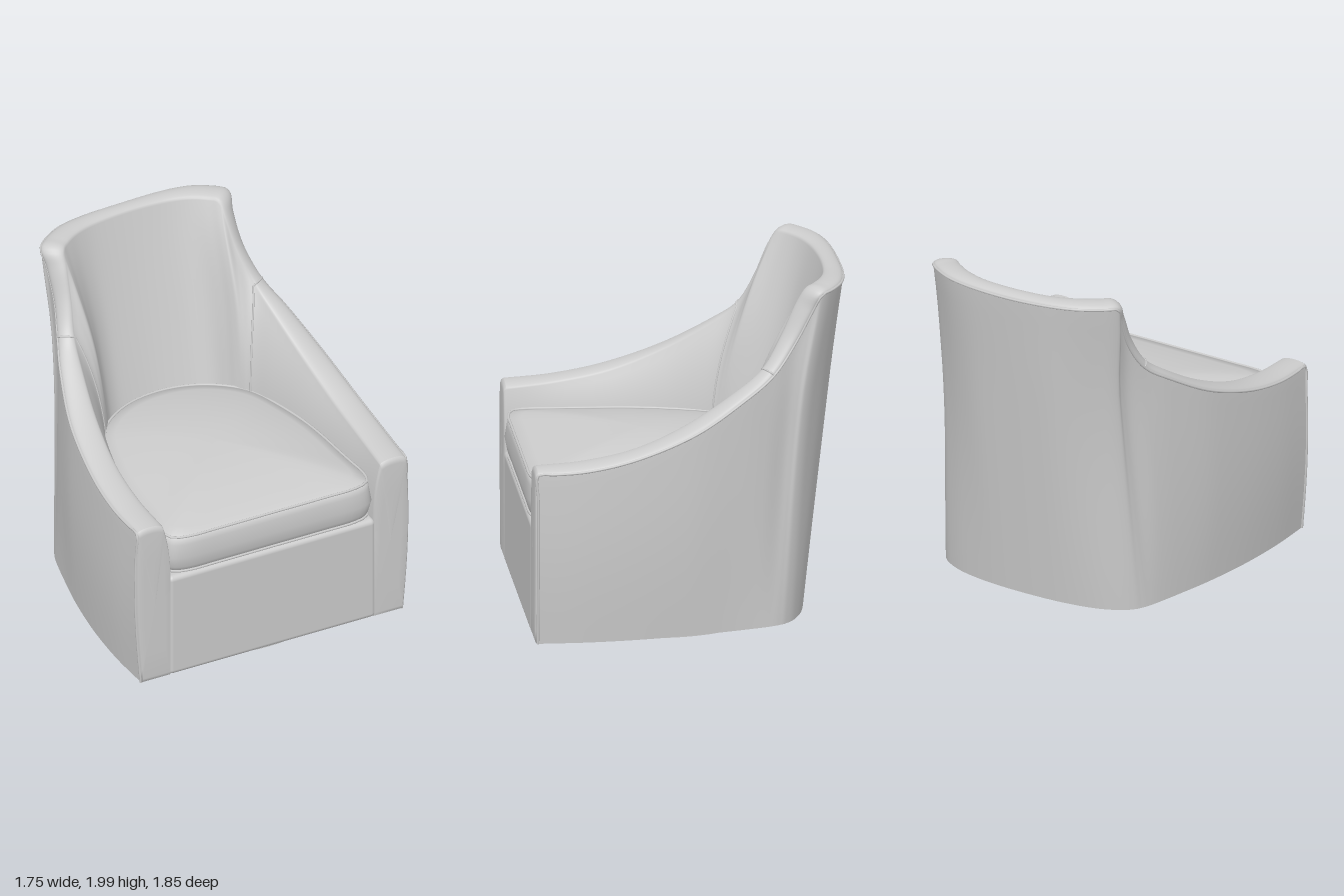
import * as THREE from 'three';
import { toCreasedNormals } from 'three/addons/utils/BufferGeometryUtils.js';
import { RoundedBoxGeometry } from 'three/addons/geometries/RoundedBoxGeometry.js';

const V = (x, y, z) => new THREE.Vector3(x, y, z);
const { lerp, clamp, smoothstep } = THREE.MathUtils;
const material = new THREE.MeshStandardMaterial({ color: 0xcccccc });
const doubleMaterial = new THREE.MeshStandardMaterial({ color: 0xcccccc, side: THREE.DoubleSide });
const FLOOR = 0.024;

// Cross-sections of the upholstered wall, front of arm to centre of back:
// base x,z | outer top x,y,z | inner top x,y,z | inner foot x,z
const SECTIONS = [
  [0.83, 0.885, 0.855, 1.035, 0.885, 0.69, 1.03, 0.885, 0.645, 0.885],
  [0.84, 0.6, 0.865, 1.05, 0.6, 0.7, 1.055, 0.6, 0.63, 0.6],
  [0.825, 0.3, 0.85, 1.11, 0.3, 0.69, 1.115, 0.3, 0.6, 0.3],
  [0.785, 0, 0.805, 1.23, -0.03, 0.655, 1.24, 0, 0.54, 0],
  [0.735, -0.24, 0.722, 1.39, -0.31, 0.605, 1.4, -0.27, 0.49, -0.17],
  [0.7, -0.39, 0.65, 1.51, -0.48, 0.57, 1.52, -0.42, 0.455, -0.25],
  [0.68, -0.46, 0.602, 1.68, -0.6, 0.53, 1.69, -0.52, 0.435, -0.28],
  [0.662, -0.505, 0.597, 1.86, -0.69, 0.51, 1.87, -0.6, 0.42, -0.3],
  [0.635, -0.55, 0.61, 1.955, -0.74, 0.5, 1.955, -0.655, 0.4, -0.32],
  [0.57, -0.605, 0.55, 1.965, -0.805, 0.45, 1.965, -0.705, 0.37, -0.35],
  [0.44, -0.66, 0.42, 1.965, -0.878, 0.35, 1.965, -0.765, 0.31, -0.39],
  [0.24, -0.695, 0.24, 1.96, -0.915, 0.21, 1.96, -0.805, 0.18, -0.43],
  [0, -0.705, 0, 1.955, -0.925, 0, 1.96, -0.82, 0, -0.45],
];
const BACK_SEAM = 5;

// Runs one guide curve from the left front, round the back, to the right front
function guide(pick) {
  const half = SECTIONS.map(pick);
  const other = half.slice(0, -1).reverse().map(p => V(-p.x, p.y, p.z));
  return new THREE.CatmullRomCurve3([...half, ...other], false, 'catmullrom', 0.5);
}
const base = guide(s => V(s[0], FLOOR, s[1]));
const outerTop = guide(s => V(s[2], s[3], s[4]));
const innerTop = guide(s => V(s[5], s[6], s[7]));
const innerFoot = guide(s => V(s[8], 0.6, s[9]));

// The top of the back sits slightly off centre and twisted
function settle(p) {
  const k = smoothstep(p.y, 1.35, 1.95);
  p.z -= 0.04 * p.x * k;
  p.x -= 0.028 * k;
  return p;
}

const OUT = 14, TOP = 12, IN = 16, PROFILE = OUT + TOP + IN + 1;

// Point on the wall: u runs round the plan, j runs up, over the roll and down inside
function wallPoint(u, j) {
  const b = base.getPoint(u), t = outerTop.getPoint(u);
  const i = innerTop.getPoint(u), f = innerFoot.getPoint(u);
  if (j <= OUT) {
    // Arms swell outward, the back corners draw in below the flared wings
    const k = j / OUT, dir = b.clone().sub(f).setY(0).normalize();
    const swell = 0.02 * clamp((b.z + 0.6) / 0.6, 0, 1) * Math.sin(Math.PI * k);
    const dip = 0.035 * smoothstep(-b.z, 0.36, 0.55) * smoothstep(Math.abs(b.x), 0.2, 0.55);
    return settle(b.clone().lerp(t, k).addScaledVector(dir, swell - dip * Math.sin(Math.PI * k ** 1.3)));
  }
  if (j <= OUT + TOP) {
    // Padded roll, bulging square to the edge
    const k = (j - OUT) / TOP, across = i.clone().sub(t);
    const bulge = outerTop.getTangent(u).cross(across).normalize();
    const p = t.clone().addScaledVector(across, (1 - Math.cos(Math.PI * k)) / 2);
    return settle(p.addScaledVector(bulge, 0.028 * Math.max(0, Math.sin(Math.PI * k)) ** 0.9));
  }
  if (j < PROFILE) {
    const k = (j - OUT - TOP) / IN;
    const ease = 1 - (1 - k) ** (1 + 1.6 * smoothstep(f.z, -0.42, -0.25));
    return settle(V(lerp(i.x, f.x, ease), lerp(i.y, f.y, k), lerp(i.z, f.z, ease)));
  }
  return f.setY(FLOOR);
}

// Grid surface facing along du x dv
function surface(nu, nv, point, closed = false) {
  const pos = [], index = [], w = closed ? nu : nu + 1;
  for (let j = 0; j <= nv; j++)
    for (let i = 0; i < w; i++) pos.push(...point(i, j).toArray());
  for (let j = 0; j < nv; j++)
    for (let i = 0; i < nu; i++) {
      const a = j * w + i, b = j * w + (i + 1) % w, c = b + w, d = a + w;
      index.push(a, b, d, b, c, d);
    }
  const g = new THREE.BufferGeometry();
  g.setAttribute('position', new THREE.Float32BufferAttribute(pos, 3));
  g.setIndex(index);
  g.computeVertexNormals();
  return g;
}

function add(parent, name, geometry, mat = material) {
  const mesh = new THREE.Mesh(geometry, mat);
  mesh.name = name;
  parent.add(mesh);
  return mesh;
}

function piping(parent, name, points, closed = false, radius = 0.008) {
  const curve = new THREE.CatmullRomCurve3(points, closed);
  return add(parent, name, new THREE.TubeGeometry(curve, points.length * 2, radius, 6, closed));
}

// Rounded front face of one arm
function armFront(side) {
  const n = PROFILE + 1, u = side > 0 ? 0 : 1;
  const rings = [[1, 0], [0.985, 0.012], [0.94, 0.019], [0.6, 0.021], [0, 0.021]];
  return surface(n, rings.length - 1, (i, j) => {
    const p = wallPoint(u, side > 0 ? i : n - 1 - i), [s, dz] = rings[j];
    return V(lerp(side * 0.75, p.x, s), lerp(0.52, p.y, s), p.z + dz);
  }, true);
}

function makeShell() {
  const shell = new THREE.Group();
  shell.name = 'upholsteredShell';
  const N = 144;
  add(shell, 'armsAndBack', surface(N, PROFILE, (i, j) => wallPoint(i / N, j)));
  for (const side of [1, -1]) {
    const name = side > 0 ? 'left' : 'right';
    add(shell, name + 'ArmFront', armFront(side));

    // Seam where the arm meets the back
    const at = BACK_SEAM / (2 * SECTIONS.length - 2), seam = [];
    for (let j = OUT; j < PROFILE; j++) seam.push(wallPoint(side > 0 ? at : 1 - at, j));
    piping(shell, name + 'BackSeam', seam, false, 0.006);
  }

  // One welt from the floor, over arms and back, to the floor again
  const welt = [];
  for (let j = 0; j < OUT; j += 2) welt.push(wallPoint(0, j));
  for (let i = 0; i <= 80; i++) welt.push(wallPoint(i / 80, OUT));
  for (let j = OUT - 2; j >= 0; j -= 2) welt.push(wallPoint(1, j));
  piping(shell, 'outerWelt', welt);
  return shell;
}

function makeCushion() {
  const cushion = new THREE.Group();
  cushion.name = 'seatCushion';
  const half = [[0.3, 0.895], [0.57, 0.885], [0.635, 0.84], [0.628, 0.55], [0.6, 0.2],
    [0.545, -0.05], [0.465, -0.27], [0.35, -0.39], [0.19, -0.475]];
  const plan = new THREE.CatmullRomCurve3([V(0, 0, 0.895), ...half.map(p => V(p[0], 0, p[1])), V(0, 0, -0.505),
    ...half.slice().reverse().map(p => V(-p[0], 0, p[1]))], true);

  // Boxed side, then a crowned top
  const rows = [[0, 0.69], [0.9, 0.69], [0.99, 0.695], [1.008, 0.73], [1.028, 0.8], [1.012, 0.88], [1, 0.925]];
  for (let k = 1; k <= 10; k++) {
    const s = 1 - k / 10;
    rows.push([s, 0.925 + 0.09 * (1 - s * s)]);
  }
  const N = 96;
  const ring = (i, s, y) => {
    const p = plan.getPoint(i / N);
    return V(p.x * s, y, lerp(0.2, p.z, s));
  };
  add(cushion, 'cushionBody', surface(N, rows.length - 1, (i, j) => ring(i, ...rows[j]), true));
  for (const [name, y] of [['topPiping', 0.928], ['bottomPiping', 0.7]]) {
    const points = [];
    for (let i = 0; i < N; i += 2) points.push(ring(i, 1, y));
    piping(cushion, name, points, true);
  }
  return cushion;
}

export function createModel() {
  const chair = new THREE.Group();
  chair.name = 'armchair';
  chair.add(makeShell(), makeCushion());

  // Seat box with the front panel
  const boxHeight = 0.685 - FLOOR;
  add(chair, 'seatBase', new RoundedBoxGeometry(1.32, boxHeight, 1.2, 4, 0.03)).position.set(0, FLOOR + boxHeight / 2, 0.304);

  // Underside following the outer plan
  const outline = new THREE.Shape(base.getPoints(96).map(p => new THREE.Vector2(p.x, p.z)));
  add(chair, 'underside', new THREE.ShapeGeometry(outline).rotateX(Math.PI / 2).translate(0, FLOOR, 0));

  // Round swivel plinth with a raised rim
  const rim = [[0, 0.012], [0.705, 0.012], [0.705, 0], [0.74, 0], [0.74, FLOOR]].map(p => new THREE.Vector2(...p));
  const plinth = toCreasedNormals(new THREE.LatheGeometry(rim, 64), 0.6);
  add(chair, 'swivelPlinth', plinth, doubleMaterial).position.z = 0.12;
  return chair;
}
